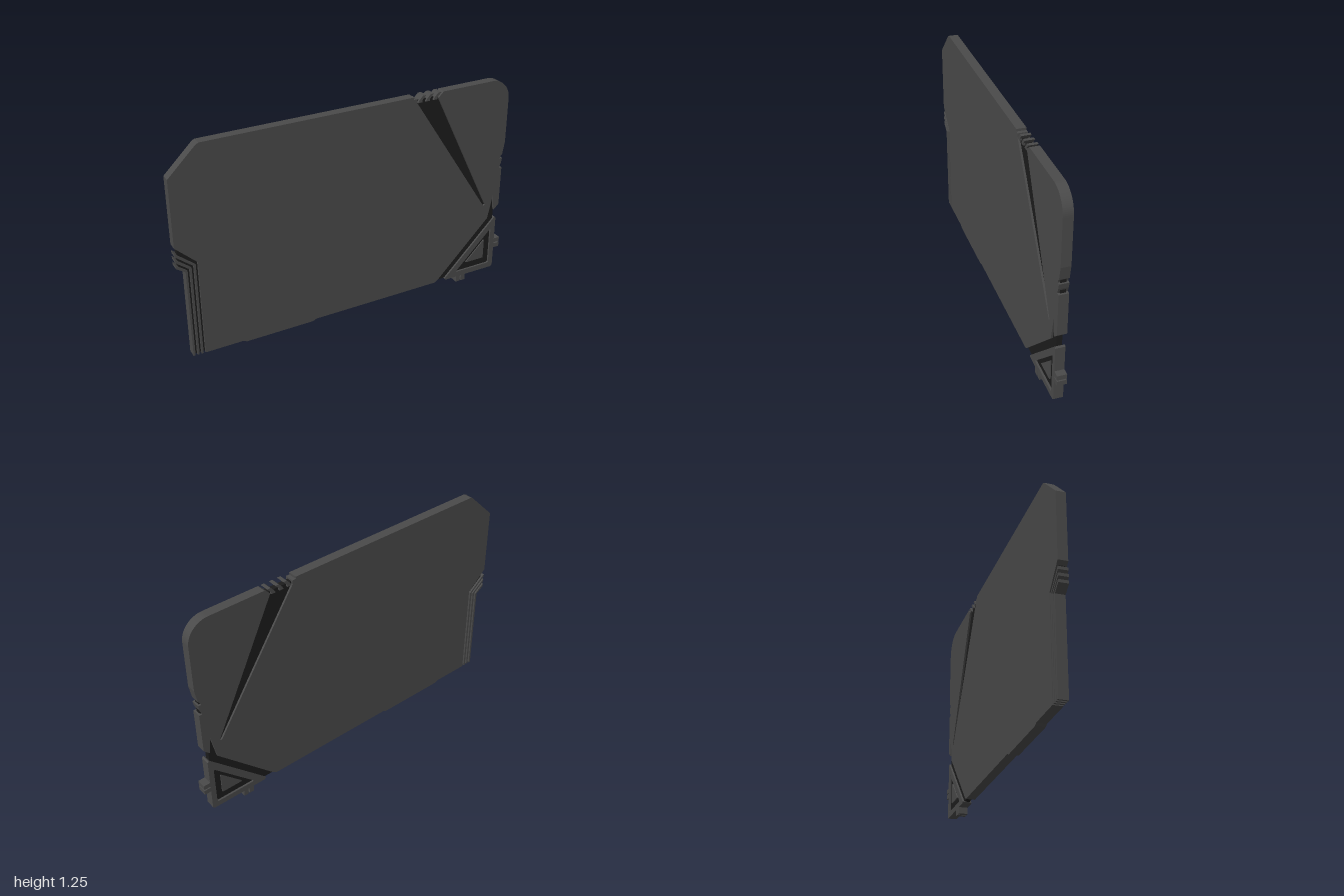
import * as THREE from 'three';

const DEPTH = 0.052;   // full plate thickness
const CORE = 0.03;     // thickness of the recessed dark core

const plateMat = new THREE.MeshStandardMaterial({ color: 0x4a4a4a });
const coreMat = new THREE.MeshStandardMaterial({ color: 0x1c1c1c });

const toPoints = (pts) => pts.map(([x, y]) => new THREE.Vector2(x, y));

// Flat panel extruded from an outline and centred on z = 0
function panel(name, outline, depth, mat, holes = []) {
  const shape = outline instanceof THREE.Shape ? outline : new THREE.Shape(toPoints(outline));
  for (const h of holes) shape.holes.push(new THREE.Path(toPoints(h)));
  const geo = new THREE.ExtrudeGeometry(shape, { depth, bevelEnabled: false, curveSegments: 10 });
  geo.translate(0, 0, -depth / 2);
  const mesh = new THREE.Mesh(geo, mat);
  mesh.name = name;
  return mesh;
}

function box(name, x0, x1, y0, y1, depth, mat) {
  const mesh = new THREE.Mesh(new THREE.BoxGeometry(x1 - x0, y1 - y0, depth), mat);
  mesh.position.set((x0 + x1) / 2, (y0 + y1) / 2, 0);
  mesh.name = name;
  return mesh;
}

// Right triangle with its square corner at lower right and clipped tips
function triangle(x0, x1, y0, clip) {
  const y1 = y0 + x1 - x0;
  return [
    [x0 + clip * 0.4, y0], [x1 - clip * 0.5, y0], [x1, y0 + clip * 0.5],
    [x1, y1 - clip * 0.4], [x1 - clip * 0.4, y1], [x1 - clip, y1 - clip * 0.6],
    [x0 + clip * 0.6, y0 + clip],  [x0, y0 + clip * 0.4],
  ];
}

function mainPlate() {
  const s = new THREE.Shape();
  s.moveTo(-1, 0.71);
  const run = (pts) => pts.forEach(([x, y]) => s.lineTo(x, y));
  // Left side and bottom edge with its shallow lip
  run([[-0.885, 0.6], [-0.885, 0.04], [-0.67, 0.04], [-0.65, 0.03], [-0.25, 0.03], [-0.23, 0.04], [0.55, 0.04], [0.57, 0.052]]);
  // Cut corner, sliver slot and right edge notches
  run([[0.9, 0.385], [0.93, 0.53], [0.942, 0.43], [0.975, 0.462], [0.975, 0.7], [0.957, 0.7], [0.968, 0.73],
    [0.974, 0.76], [0.957, 0.76], [0.962, 0.775], [0.972, 0.785], [0.985, 0.86], [0.985, 1.125]]);
  // Rounded upper corner
  s.absarc(0.865, 1.125, 0.12, 0, Math.PI / 2, false);
  // Long tapering slot open at the top
  run([[0.55, 1.245], [0.518, 1.215], [0.877, 0.48], [0.865, 0.475], [0.385, 1.21], [0.385, 1.232], [0.365, 1.232],
    [0.365, 1.245], [-0.83, 1.245], [-0.845, 1.238], [-1, 1.087]]);
  return panel('mainPlate', s, DEPTH, plateMat);
}

export function createModel() {
  const model = new THREE.Group();
  model.name = 'notchedPanel';
  model.add(mainPlate());

  // Dark filling of the long slot, with slanted teeth along its top
  model.add(panel('slotCore', [[0.38, 1.222], [0.37, 1.2], [0.85, 0.465], [0.89, 0.465], [0.53, 1.222]], CORE, coreMat));
  for (let i = 0; i < 3; i++) {
    const x = 0.39 + i * 0.048;
    model.add(panel('slotTooth', [[x, 1.208], [x + 0.026, 1.208], [x + 0.026, 1.22], [x + 0.049, 1.245],
      [x + 0.029, 1.245], [x + 0.01, 1.225]], DEPTH, plateMat));
  }

  // Bent strips stepping away from the left side
  const strips = new THREE.Group();
  strips.name = 'sideStrips';
  const step = 0.0225, w = 0.011;
  for (let i = 1; i <= 3; i++) {
    const x = -0.885 - i * step, y = 0.6 - i * 0.012, top = 0.71 - i * 0.034;
    strips.add(panel('sideStrip', [[-1, top], [-1, top - 0.016], [x, y - 0.005], [x, 0.04], [x + w, 0.04],
      [x + w, y]], DEPTH, plateMat));
  }
  strips.add(panel('sideCore', [[-0.985, 0.69], [-0.985, 0.597], [-0.948, 0.562], [-0.948, 0.046], [-0.88, 0.046], [-0.88, 0.6]],
    CORE, coreMat));
  model.add(strips);

  // Dark link behind the cut corner and the right edge notches
  model.add(panel('cornerCore', [[0.555, 0.047], [0.65, 0.047], [0.945, 0.345], [0.945, 0.44], [0.932, 0.535], [0.915, 0.5], [0.89, 0.385]],
    CORE, coreMat));
  model.add(box('edgeCore', 0.93, 0.964, 0.69, 0.82, CORE, coreMat));

  // Triangular corner badge: frame, recessed floor and inner triangle
  const corner = new THREE.Group();
  corner.name = 'cornerTriangle';
  corner.add(panel('triangleFrame', triangle(0.62, 0.962, 0.037, 0.02), DEPTH, plateMat,
    [triangle(0.7, 0.932, 0.07, 0.012).reverse()]));
  corner.add(panel('triangleFloor', triangle(0.69, 0.94, 0.063, 0.012), CORE, coreMat));
  corner.add(panel('triangleInset', triangle(0.77, 0.893, 0.113, 0.006), 0.042, plateMat));

  // Paired tabs on the outer sides of the triangle
  for (const o of [0, 0.035]) {
    corner.add(box('sideTab', 0.955, 1, 0.167 + o, 0.194 + o, DEPTH, plateMat));
    corner.add(box('bottomTab', 0.703 + o, 0.73 + o, 0, 0.045, DEPTH, plateMat));
  }
  corner.add(box('sideTabCore', 0.955, 0.972, 0.18, 0.215, CORE, coreMat));
  corner.add(box('bottomTabCore', 0.715, 0.755, 0.028, 0.045, CORE, coreMat));
  model.add(corner);

  return model;
}
